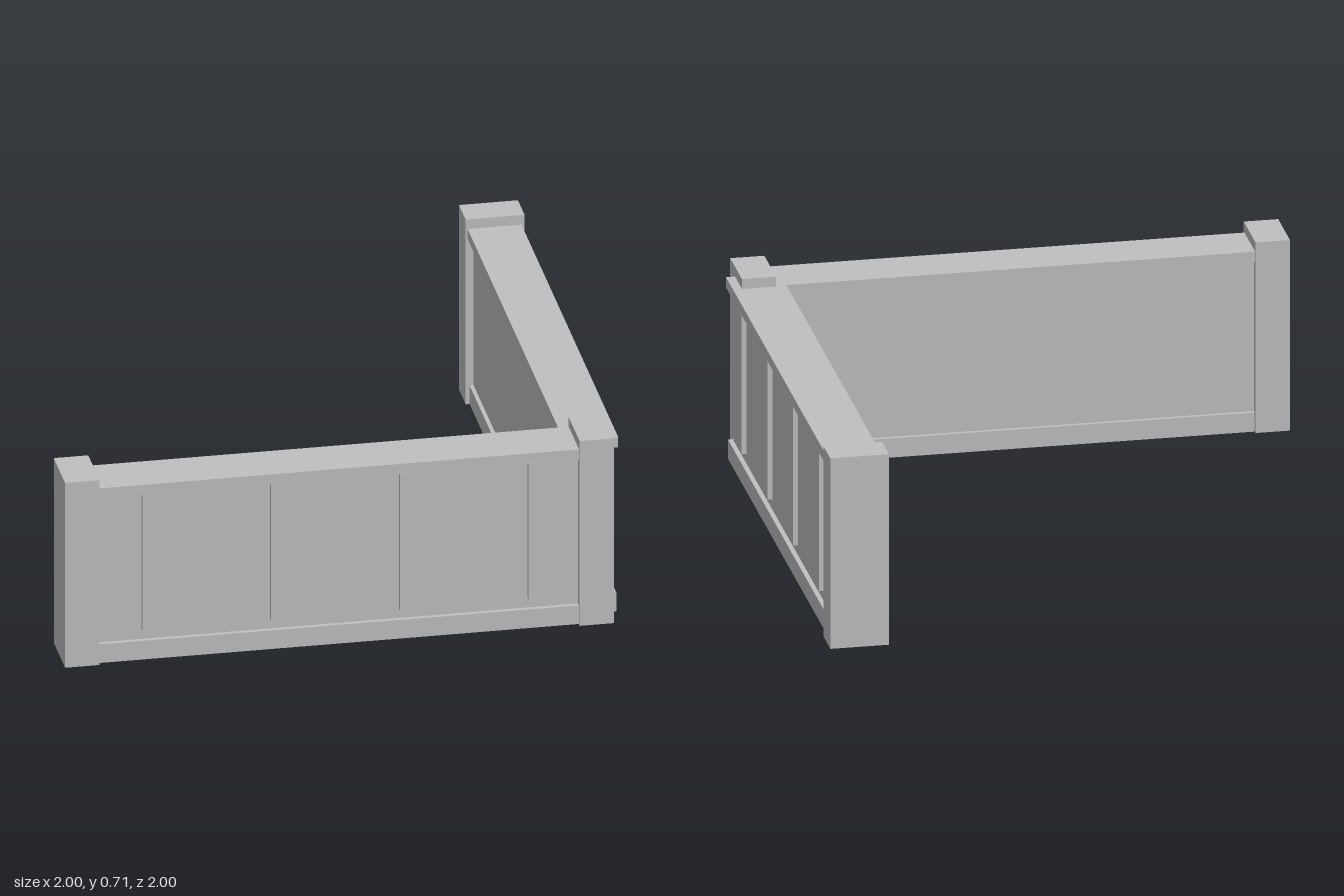
import * as THREE from 'three';

export function createModel() {
  const model = new THREE.Group();
  const grey = new THREE.MeshStandardMaterial({ color: 0xc0c0c0 });
  grey.name = 'plain grey';

  // Box given by its min and max corners
  function box(parent, name, [x0, y0, z0], [x1, y1, z1]) {
    const mesh = new THREE.Mesh(new THREE.BoxGeometry(x1 - x0, y1 - y0, z1 - z0), grey);
    mesh.position.set((x0 + x1) / 2, (y0 + y1) / 2, (z0 + z1) / 2);
    mesh.name = name;
    parent.add(mesh);
  }

  // Straight wall along x with its outer face towards +z
  function wall(name) {
    const g = new THREE.Group();
    g.name = name;
    box(g, 'panel', [-0.895, 0.03, 0.818], [0.94, 0.66, 0.967]);
    box(g, 'baseRail', [-0.905, 0, 0.804], [0.94, 0.072, 0.984]);
    box(g, 'capRail', [-0.915, 0.638, 0.797], [0.94, 0.677, 0.989]);
    for (let i = 0; i < 4; i++) {
      const x = -0.67 + i * 0.459;
      box(g, 'batten', [x - 0.0125, 0.11, 0.96], [x + 0.0125, 0.635, 0.985]);
    }
    box(g, 'endPost', [0.877, 0, 0.79], [1, 0.714, 1]);
    model.add(g);
    return g;
  }

  // Side wall: turned so that its end post stands at the back
  wall('sideWall').rotation.y = Math.PI / 2;

  // Front wall: post at the left end of the frame, corner post by the side wall
  const front = new THREE.Group();
  front.name = 'frontWall';
  box(front, 'panel', [-0.94, 0.03, 0.818], [0.9, 0.66, 0.967]);
  box(front, 'baseRail', [-0.94, 0, 0.804], [0.905, 0.072, 0.984]);
  box(front, 'capRail', [-0.94, 0.638, 0.797], [0.915, 0.677, 0.989]);
  for (let i = 0; i < 4; i++) {
    const x = -0.709 + i * 0.459;
    box(front, 'batten', [x - 0.0125, 0.11, 0.96], [x + 0.0125, 0.635, 0.985]);
  }
  box(front, 'endPost', [-1, 0, 0.79], [-0.877, 0.714, 1]);
  box(front, 'cornerPost', [0.835, 0, 0.79], [0.957, 0.714, 1]);
  model.add(front);

  return model;
}
